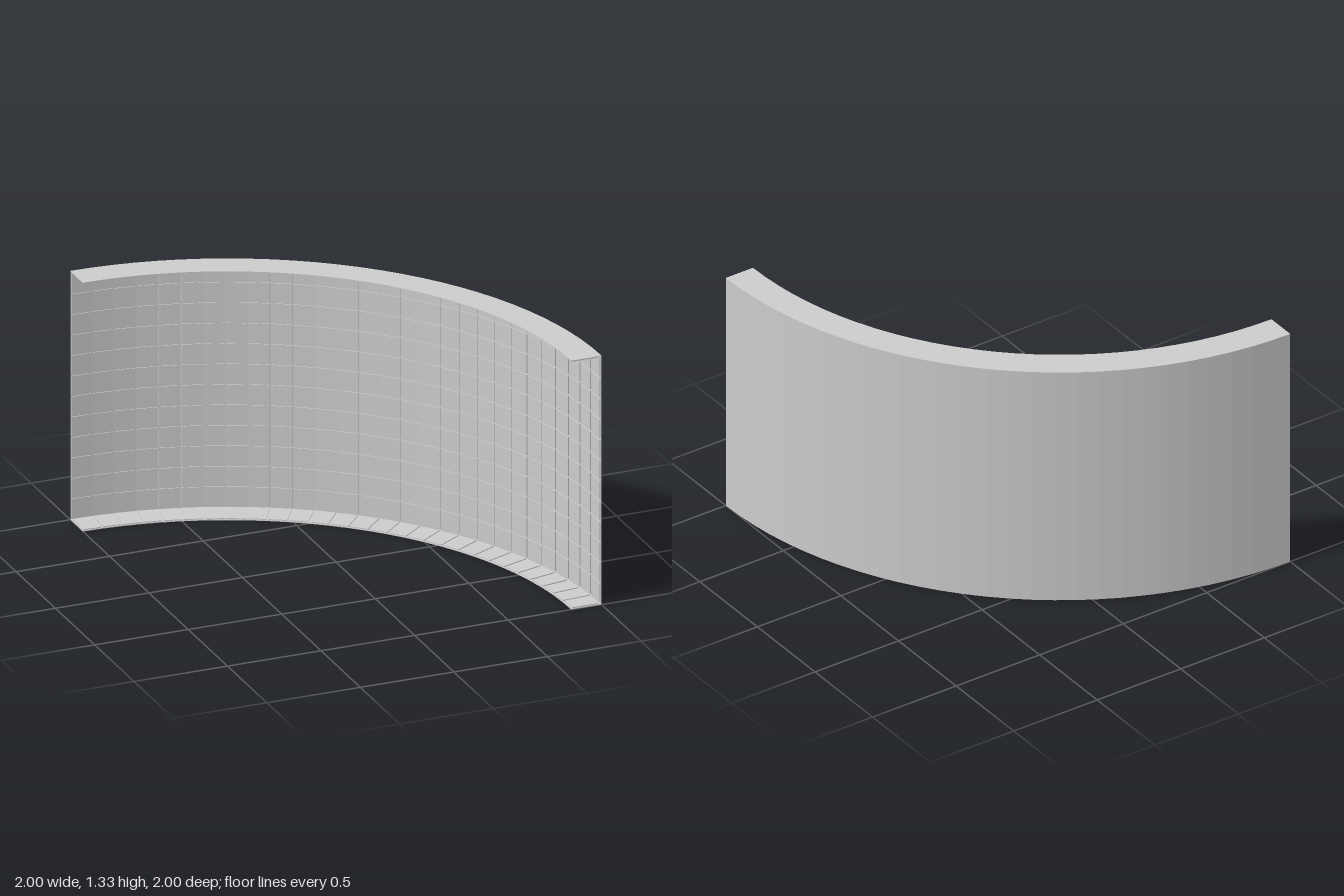
import * as THREE from 'three';
import { mergeGeometries } from 'three/addons/utils/BufferGeometryUtils.js';

const COLS = 28, ROWS = 12;
const HEIGHT = 1.333, OUTER = 2, INNER = 1.837;
const SHEET = 0.004, TILE = 0.005, GAP = 0.01;
const STEP = Math.PI / 2 / COLS;

// A box bent around the arc centre at x = -1, z = 1; a = 0 points to +x, a = 90 degrees to -z
function arcBlock(r0, r1, y0, y1, a0, a1, segments = 1) {
  const box = new THREE.BoxGeometry(1, 1, 1, 1, 1, segments);
  const p = box.attributes.position;
  for (let i = 0; i < p.count; i++) {
    const r = THREE.MathUtils.lerp(r0, r1, p.getX(i) + 0.5);
    const y = THREE.MathUtils.lerp(y0, y1, p.getY(i) + 0.5);
    const a = THREE.MathUtils.lerp(a0, a1, 0.5 - p.getZ(i));
    p.setXYZ(i, -1 + r * Math.cos(a), y, 1 - r * Math.sin(a));
  }
  const flat = box.toNonIndexed();
  flat.computeVertexNormals();
  return flat;
}

export function createModel() {
  const group = new THREE.Group();
  const material = new THREE.MeshStandardMaterial({ color: 0xcccccc, flatShading: true });
  const add = (name, geometry) => {
    const mesh = new THREE.Mesh(geometry, material);
    mesh.name = name;
    group.add(mesh);
  };

  // Thin curved wall with a flange along its bottom and top
  const full = Math.PI / 2, wallFace = OUTER - SHEET;
  add('curvedWall', arcBlock(wallFace, OUTER, 0, HEIGHT, 0, full, COLS));
  add('bottomFlange', arcBlock(INNER, wallFace, 0, SHEET, 0, full, COLS));
  add('topFlange', arcBlock(INNER, wallFace, HEIGHT - SHEET, HEIGHT, 0, full, COLS));

  // Raised tiles with narrow grooves between them
  const wallTiles = [], bottomTiles = [], topTiles = [];
  const base = SHEET + TILE;
  const pitch = (HEIGHT - 2 * base) / ROWS;
  const trim = GAP / 2 / OUTER;
  for (let c = 0; c < COLS; c++) {
    const a0 = c * STEP + trim, a1 = (c + 1) * STEP - trim;
    for (let r = 0; r < ROWS; r++) {
      const y = base + r * pitch;
      wallTiles.push(arcBlock(wallFace - TILE, wallFace, y + GAP / 2, y + pitch - GAP / 2, a0, a1));
    }
    const r0 = INNER + GAP / 2, r1 = wallFace - TILE - GAP / 2;
    bottomTiles.push(arcBlock(r0, r1, SHEET, base, a0, a1));
    topTiles.push(arcBlock(r0, r1, HEIGHT - base, HEIGHT - SHEET, a0, a1));
  }
  add('wallTiles', mergeGeometries(wallTiles));
  add('bottomFlangeTiles', mergeGeometries(bottomTiles));
  add('topFlangeTiles', mergeGeometries(topTiles));

  return group;
}
